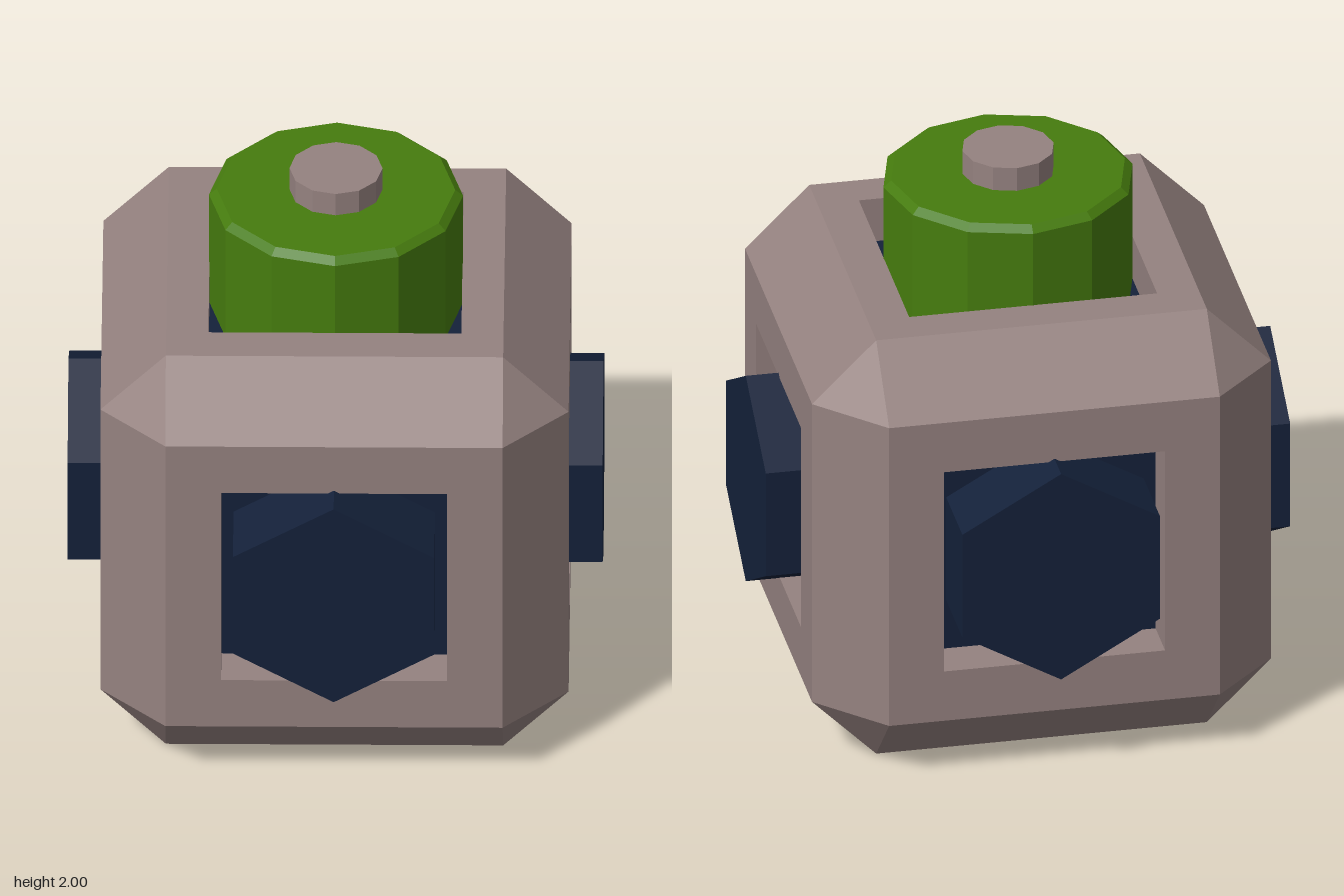
import * as THREE from 'three';
import { mergeGeometries } from 'three/addons/utils/BufferGeometryUtils.js';

const H = 0.805;    // half size of the frame, also its centre height
const C = 0.58;     // half size of each flat face inside the bevels
const WALL = 0.165; // panel thickness
const Q = Math.PI / 2;

const material = (color) => new THREE.MeshStandardMaterial({ color, flatShading: true });

// Square panel with a square window, lying on the +z side
function panel(hole) {
  const square = (s) => [[-s, -s], [s, -s], [s, s], [-s, s]].map(([x, y]) => new THREE.Vector2(x, y));
  const shape = new THREE.Shape(square(C));
  shape.holes.push(new THREE.Path(square(hole).reverse()));
  const g = new THREE.ExtrudeGeometry(shape, { depth: WALL, bevelEnabled: false });
  g.deleteAttribute('uv');
  return g.translate(0, 0, H - WALL);
}

// Flat polygon, triangulated as a fan
function facet(points) {
  const data = [];
  for (let i = 1; i < points.length - 1; i++) data.push(...points[0], ...points[i], ...points[i + 1]);
  const g = new THREE.BufferGeometry();
  g.setAttribute('position', new THREE.Float32BufferAttribute(data, 3));
  g.computeVertexNormals();
  return g;
}

function frameGeometry() {
  const parts = [];
  const edge = () => facet([[H, C, C], [H, C, -C], [C, H, -C], [C, H, C]]);
  const corner = () => facet([[H, C, C], [C, H, C], [C, C, H]]);
  // Top panel has a wider window than the other five
  parts.push(panel(0.435).rotateX(-Q), panel(0.388).rotateX(Q));
  for (let k = 0; k < 4; k++) {
    parts.push(panel(0.388).rotateY(k * Q));
    parts.push(edge().rotateZ(k * Q));
    parts.push(edge().rotateY(Q).rotateX(k * Q));
    parts.push(edge().rotateX(Q).rotateY(k * Q));
    parts.push(corner().rotateY(k * Q));
    parts.push(corner().rotateX(2 * Q).rotateY(k * Q));
  }
  return mergeGeometries(parts);
}

export function createModel() {
  const model = new THREE.Group();
  const stone = material(0x958280);
  const navy = material(0x14213a);
  const green = material(0x467c0e);

  const add = (name, geometry, mat, y) => {
    const mesh = new THREE.Mesh(geometry, mat);
    mesh.name = name;
    mesh.position.y = y;
    model.add(mesh);
  };

  // Bevelled open frame around a dark core
  add('frame', frameGeometry(), stone, H);
  const core = 2 * (H - WALL);
  add('core', new THREE.BoxGeometry(core, core, core), navy, H);

  // Hexagonal studs through the four side windows
  const studDepth = 0.92 - (H - WALL);
  ['frontStud', 'leftStud', 'backStud', 'rightStud'].forEach((name, i) => {
    const g = new THREE.CylinderGeometry(0.4, 0.4, studDepth, 6)
      .rotateX(Q).translate(0, 0, 0.92 - studDepth / 2).rotateY(i * Q);
    add(name, g, navy, H);
  });

  // Twelve-sided cap with a thin bevel, and the button on top
  const capProfile = [[0, 1.44], [0.437, 1.44], [0.437, 1.888], [0.41, 1.912], [0, 1.912]]
    .map(([r, y]) => new THREE.Vector2(r, y));
  add('cap', new THREE.LatheGeometry(capProfile, 12), green, 0);
  add('button', new THREE.CylinderGeometry(0.16, 0.16, 0.1, 12), stone, 1.95);

  return model;
}
